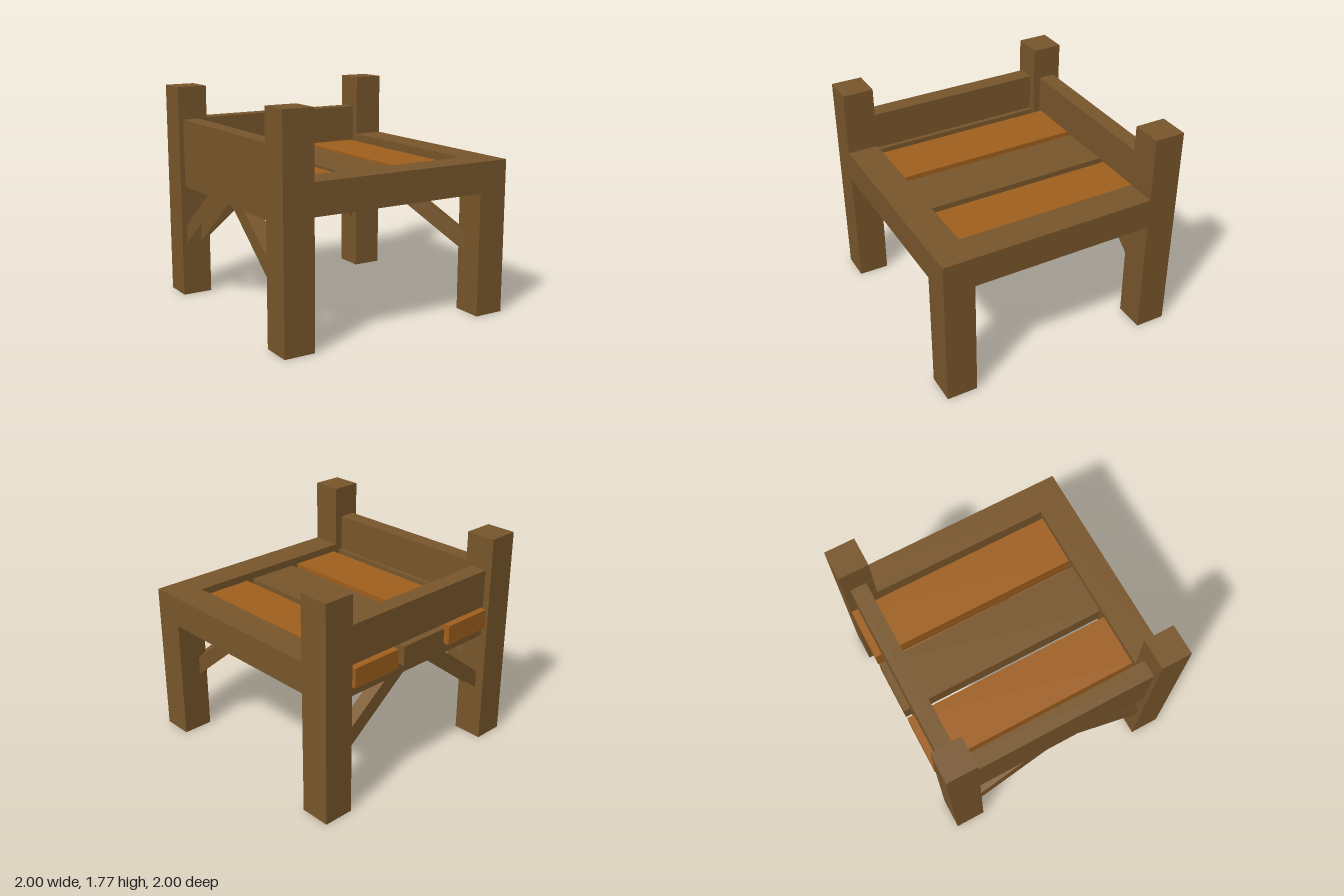
import * as THREE from 'three';

export function createModel() {
  const model = new THREE.Group();
  model.name = 'timberPlatform';

  const wood = new THREE.MeshStandardMaterial({ color: 0x78562b, side: THREE.DoubleSide });
  wood.name = 'brown wood';
  const plank = new THREE.MeshStandardMaterial({ color: 0x9f5f1d, side: THREE.DoubleSide });
  plank.name = 'orange wood';

  // Every timber is a hollow box, open underneath
  const timber = (name, width, height, depth, material = wood) => {
    const geometry = new THREE.BoxGeometry(width, height, depth);
    const index = Array.from(geometry.index.array);
    index.splice(18, 6); // drop the bottom face
    geometry.setIndex(index);
    geometry.clearGroups();
    const mesh = new THREE.Mesh(geometry, material);
    mesh.name = name;
    model.add(mesh);
    return mesh;
  };

  // Upright or level timber given by its limits on each axis
  const block = (name, [x0, x1], [y0, y1], [z0, z1], material) => {
    const mesh = timber(name, x1 - x0, y1 - y0, z1 - z0, material);
    mesh.position.set((x0 + x1) / 2, (y0 + y1) / 2, (z0 + z1) / 2);
  };

  // Corner posts; the front left one stops at the beams
  for (const x of [-1, 0.75]) {
    for (const z of [-1, 0.75]) {
      const top = x > 0 && z > 0 ? 1.25 : 1.77;
      const name = (z > 0 ? 'front' : 'back') + (x > 0 ? 'Left' : 'Right') + 'Post';
      block(name, [x, x + 0.25], [0, top], [z, z + 0.25]);
    }
  }

  // Heavy beams along the front and left sides
  block('frontBeam', [-0.75, 0.75], [1, 1.25], [0.75, 1]);
  block('leftBeam', [0.75, 1], [1, 1.25], [-0.75, 0.75]);

  // High rails and supports along the back and right sides
  block('backRail', [-0.75, 0.75], [1.19, 1.5], [-0.945, -0.81]);
  block('backSupport', [-0.75, 0.75], [0.94, 1.03], [-0.945, -0.81]);
  block('rightRail', [-0.96, -0.82], [0.94, 1.5], [-0.75, 0.75]);
  block('rightLedge', [-0.82, -0.785], [0.94, 1.19], [-0.75, 0.75]);

  // Floor boards, running out under the back rail
  [-0.5, 0, 0.5].forEach((x, i) => {
    block('floorBoard', [x - 0.22, x + 0.22], [1.03, 1.19], [-1, 0.75], i === 1 ? wood : plank);
  });

  // Sloping brace: its upper end starts at (start, y) and it falls outwards, turned about y
  const brace = (name, start, y, length, width, turn) => {
    const mesh = timber(name, length, 0.12, width);
    mesh.geometry.translate(length / 2, 0.06, 0).rotateZ(-0.661).translate(start, y, 0);
    mesh.rotation.y = turn;
    return mesh;
  };
  for (const turn of [0, Math.PI]) {
    brace('backBrace', 0.12, 0.942, 0.84, 0.11, turn).position.z = -0.87;
    brace('rightBrace', 0.12, 0.942, 0.84, 0.13, turn + Math.PI / 2).position.x = -0.892;
  }

  // Diagonal brace from the short post up to the floor
  brace('cornerBrace', 0.53, 0.95, 0.79, 0.1, -Math.PI / 4);

  return model;
}
